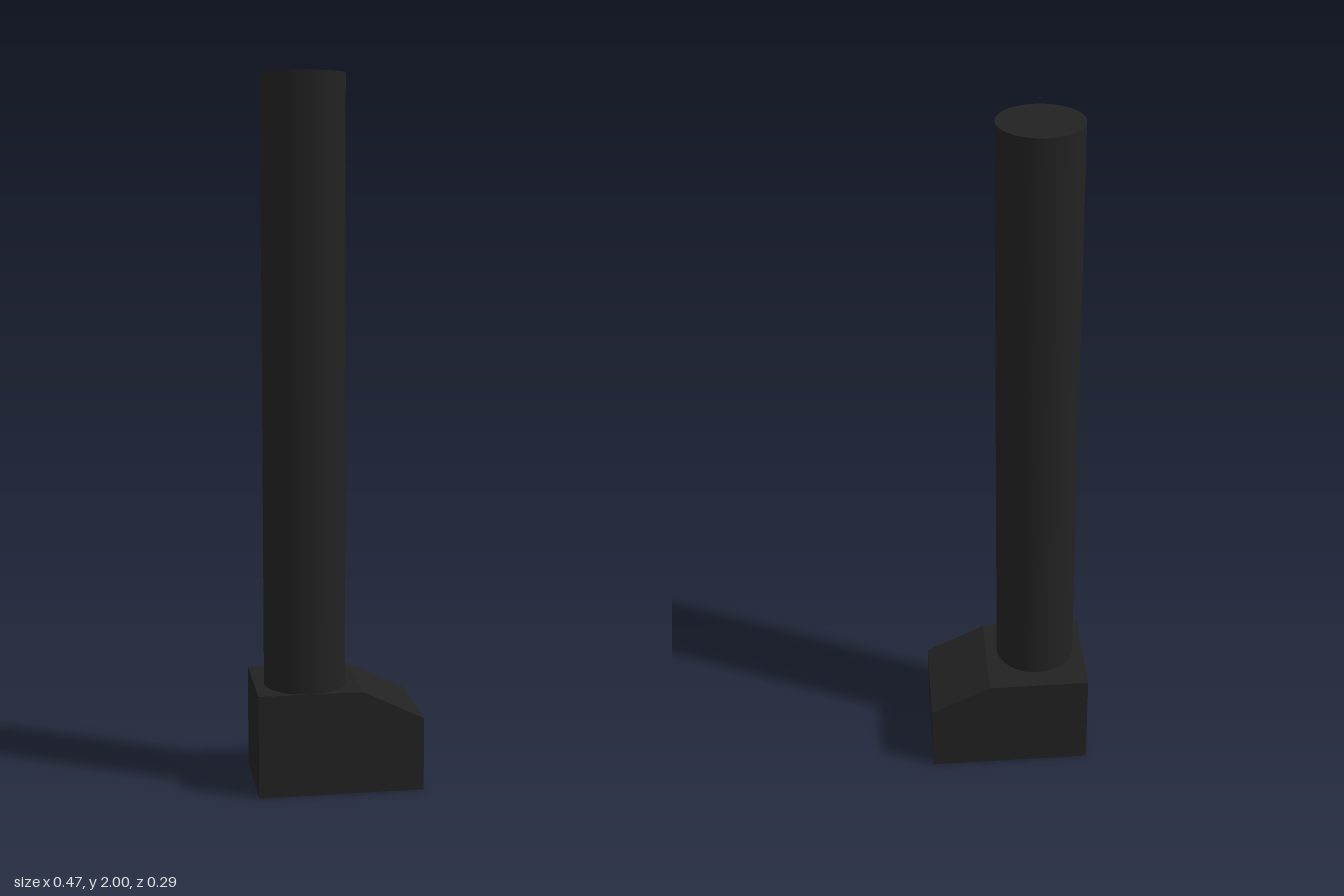
import * as THREE from 'three';

export function createModel() {
  const model = new THREE.Group();
  const charcoal = new THREE.MeshStandardMaterial({ color: 0x222222 });
  charcoal.name = 'charcoal';

  // Block with one sloped top end, extruded front to back
  const profile = new THREE.Shape([
    [-0.235, 0], [0.235, 0], [0.235, 0.21], [0.06, 0.295], [-0.235, 0.295],
  ].map(([x, y]) => new THREE.Vector2(x, y)));
  const depth = 0.294;
  const blockGeometry = new THREE.ExtrudeGeometry(profile, { depth, bevelEnabled: false });
  blockGeometry.translate(0, 0, -depth / 2);
  const block = new THREE.Mesh(blockGeometry, charcoal);
  block.name = 'baseBlock';
  model.add(block);

  // Tall round shaft, set towards the front and right, sunk into the block
  const bottom = 0.24, top = 2;
  const shaft = new THREE.Mesh(
    new THREE.CylinderGeometry(0.116, 0.116, top - bottom, 64), charcoal);
  shaft.name = 'shaft';
  shaft.position.set(-0.09, (top + bottom) / 2, 0.03);
  model.add(shaft);

  return model;
}
